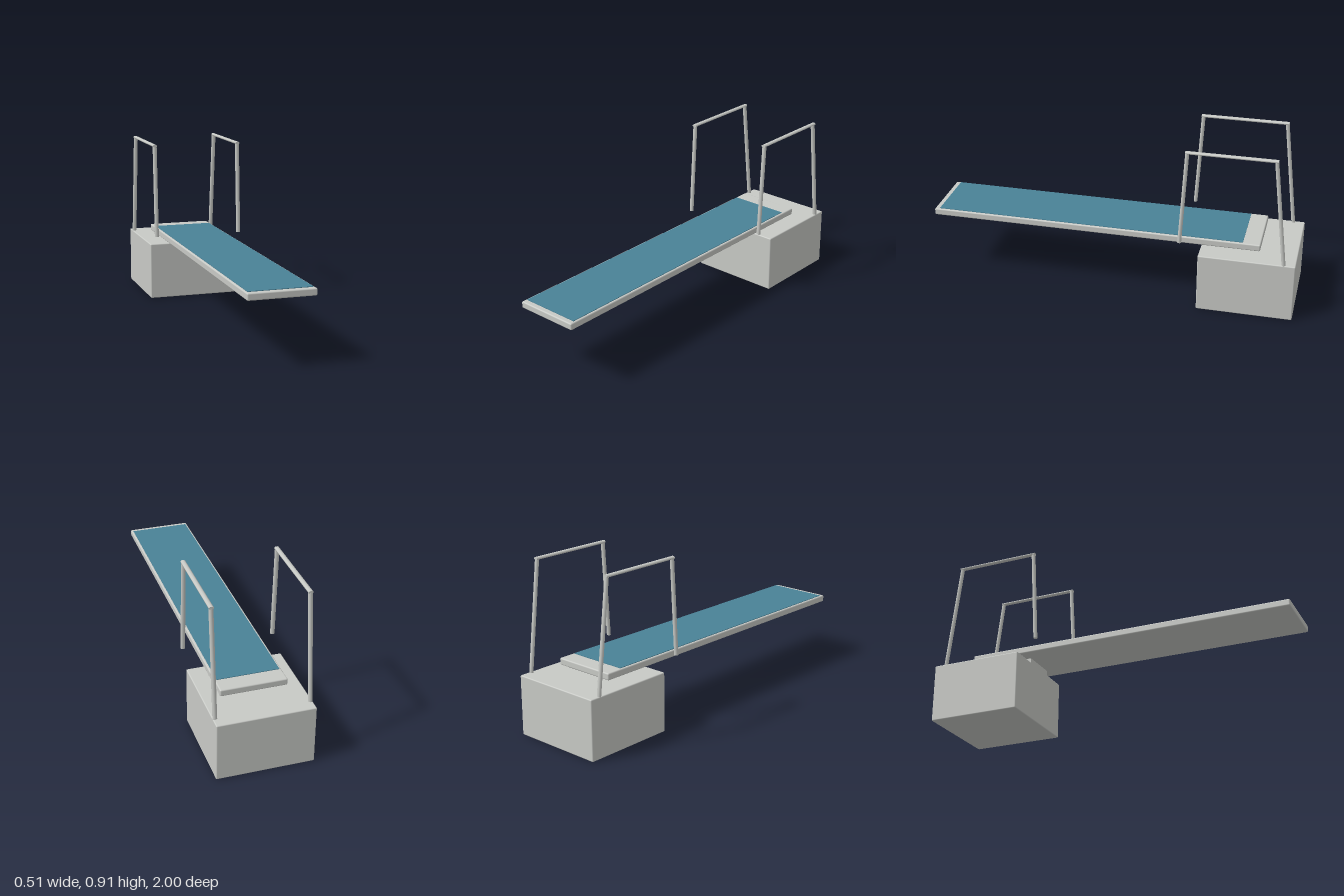
import * as THREE from 'three';
import { RoundedBoxGeometry } from 'three/addons/geometries/RoundedBoxGeometry.js';

export function createModel() {
  const model = new THREE.Group();
  model.name = 'divingBoard';

  const concrete = new THREE.MeshStandardMaterial({ color: 0xc8cac6 });
  concrete.name = 'pale grey';
  const grip = new THREE.MeshStandardMaterial({ color: 0x4a8297 });
  grip.name = 'teal blue';

  // Box given by its lower and upper corners, with optional rounded edges
  function block(name, lo, hi, material, radius = 0) {
    const size = hi.map((v, i) => v - lo[i]);
    const geometry = radius
      ? new RoundedBoxGeometry(...size, 2, radius)
      : new THREE.BoxGeometry(...size);
    const mesh = new THREE.Mesh(geometry, material);
    mesh.name = name;
    mesh.position.set(...hi.map((v, i) => (v + lo[i]) / 2));
    model.add(mesh);
  }

  block('base', [-0.257, 0, -1], [0.257, 0.322, -0.488], concrete, 0.006);
  block('boardSupport', [-0.098, 0.315, -0.68], [0.098, 0.35, -0.488], concrete);
  block('board', [-0.176, 0.345, -0.805], [0.176, 0.382, 1], concrete, 0.007);
  block('gripSurface', [-0.165, 0.379, -0.712], [0.165, 0.385, 0.972], grip);

  // Eight-sided rod between two points, flattened across its thickness
  function rod(name, from, to, width, thickness) {
    const a = new THREE.Vector3(...from);
    const b = new THREE.Vector3(...to);
    const geometry = new THREE.CylinderGeometry(0.5, 0.5, a.distanceTo(b), 8);
    geometry.rotateY(Math.PI / 8);
    geometry.scale(width, 1, thickness);
    const mesh = new THREE.Mesh(geometry, concrete);
    mesh.name = name;
    mesh.position.copy(a).add(b).multiplyScalar(0.5);
    mesh.quaternion.setFromUnitVectors(new THREE.Vector3(0, 1, 0), b.sub(a).normalize());
    return mesh;
  }

  // Handrails: leaning legs joined by a level bar
  for (const side of [-1, 1]) {
    const rail = new THREE.Group();
    rail.name = side > 0 ? 'leftHandrail' : 'rightHandrail';
    const x = 0.245 * side;
    rail.add(
      rod('frontLeg', [x, 0.386, -0.388], [x, 0.905, -0.417], 0.024, 0.021),
      rod('backLeg', [x, 0.318, -0.937], [x, 0.905, -0.868], 0.024, 0.021),
      rod('topBar', [x, 0.904, -0.407], [x, 0.904, -0.878], 0.026, 0.016),
    );
    model.add(rail);
  }

  return model;
}
